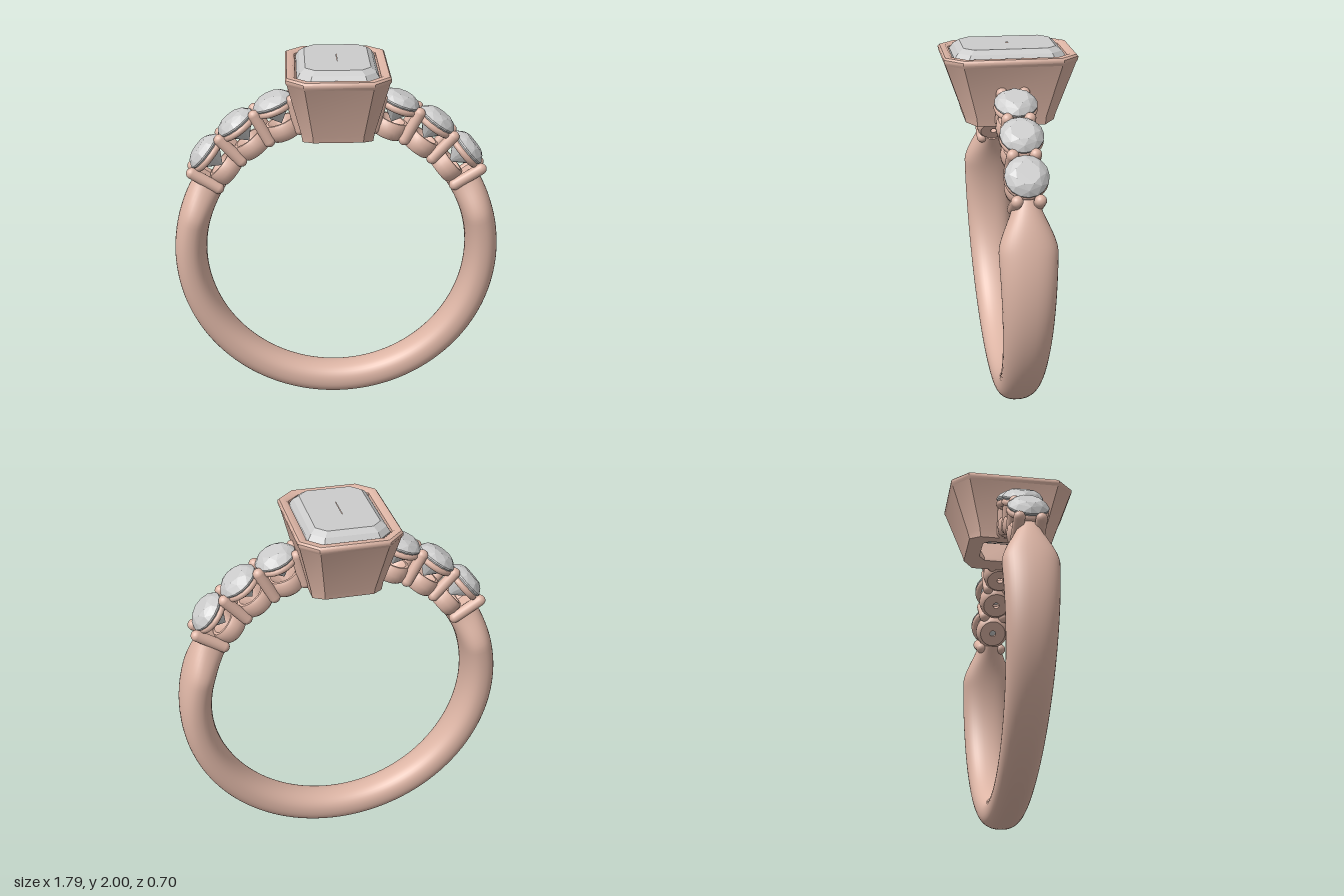
import * as THREE from 'three';
import { toCreasedNormals } from 'three/addons/utils/BufferGeometryUtils.js';
import { ConvexGeometry } from 'three/addons/geometries/ConvexGeometry.js';

const CY = 0.895;                 // height of the ring centre
const INNER = 0.72, OUTER = 0.895;
const rad = THREE.MathUtils.degToRad;

const metal = new THREE.MeshStandardMaterial({ color: 0xddb5a5 });
const gem = new THREE.MeshStandardMaterial({ color: 0xcccccc, flatShading: true });

function mesh(name, geometry, material) {
  const m = new THREE.Mesh(geometry, material);
  m.name = name;
  return m;
}

// Skin a list of equal-length loops (each counter-clockwise about the travel direction)
function loft(loops, crease) {
  const n = loops[0].length, index = [];
  for (let i = 0; i < loops.length - 1; i++) {
    for (let j = 0; j < n; j++) {
      const k = (j + 1) % n;
      const a = i * n + j, b = i * n + k, c = a + n, d = b + n;
      index.push(a, b, d, a, d, c);
    }
  }
  const g = new THREE.BufferGeometry();
  g.setAttribute('position', new THREE.Float32BufferAttribute(loops.flat(2), 3));
  g.setIndex(index);
  g.computeVertexNormals();
  return toCreasedNormals(g, rad(crease));
}

// Rectangle with cut corners; y is a height or a rule of x
function octagon(hx, hz, cut, y) {
  const a = hx - cut, b = hz - cut;
  return [[hx, b], [hx, -b], [a, -hz], [-a, -hz], [-hx, -b], [-hx, b], [-a, hz], [a, hz]]
    .map(([x, z]) => [x, typeof y === 'function' ? y(x) : y, z]);
}

// Band: wide at the shoulders, slim at the bottom, pinched at both ends
function bandGeometry() {
  const loops = [], steps = 140, sides = 36;
  const start = -213.5, end = 33.5, mid = (INNER + OUTER) / 2, half = (OUTER - INNER) / 2;
  const power = (v, e) => Math.sign(v) * Math.abs(v) ** e;
  const section = (deg, scale) => {
    const t = rad(deg), y = CY + mid * Math.sin(t);
    const above = Math.max(0, Math.asin(Math.sin(t)) * 180 / Math.PI - 15);
    const pinch = THREE.MathUtils.smoothstep(above, 0, 21);
    const w = THREE.MathUtils.lerp(0.095 + 0.055 * Math.min(1, y / 1.13), 0.062, pinch);
    const loop = [];
    for (let j = 0; j < sides; j++) {
      const p = j / sides * Math.PI * 2;
      const r = mid + half * scale * power(Math.sin(p), 0.88);
      loop.push([r * Math.cos(t), CY + r * Math.sin(t), w * scale * power(Math.cos(p), 0.88)]);
    }
    return loop;
  };
  loops.push(section(start, 0.001));
  for (let i = 0; i <= steps; i++) loops.push(section(start + (end - start) * i / steps, 1));
  loops.push(section(end, 0.001));
  return loft(loops, 45);
}

// Hollow tapered bezel whose underside follows the finger hole
function bezelGeometry() {
  const arc = (x) => CY + Math.sqrt(0.725 ** 2 - x * x);
  const base = octagon(0.185, 0.235, 0.055, arc);
  return loft([
    base,
    octagon(0.192, 0.243, 0.06, 1.64),
    octagon(0.262, 0.342, 0.088, 1.925),
    octagon(0.27, 0.35, 0.09, 1.94),
    octagon(0.27, 0.35, 0.09, 1.955),
    octagon(0.262, 0.342, 0.088, 1.965),
    octagon(0.232, 0.312, 0.075, 1.965),
    octagon(0.22, 0.3, 0.07, 1.955),
    octagon(0.215, 0.295, 0.07, 1.92),
    octagon(0.11, 0.15, 0.035, 1.63),
    octagon(0.11, 0.15, 0.035, arc),
    base,
  ], 40);
}

// Step-cut centre stone, closed by a keel below and a flat table above
function centerStoneGeometry() {
  return loft([
    octagon(0.003, 0.09, 0.001, 1.67),
    octagon(0.08, 0.15, 0.03, 1.71),
    octagon(0.155, 0.23, 0.05, 1.82),
    octagon(0.212, 0.292, 0.068, 1.935),
    octagon(0.212, 0.292, 0.068, 1.95),
    octagon(0.195, 0.272, 0.06, 1.978),
    octagon(0.168, 0.242, 0.05, 2.0),
    octagon(0.001, 0.074, 0.0005, 2.0),
  ], 5);
}

// Brilliant-cut stone: heights are distances from the ring centre
function roundStoneGeometry() {
  const pts = [new THREE.Vector3(0, 0.8, 0)];
  const ring = (count, r, y, turn) => {
    for (let i = 0; i < count; i++) {
      const a = (i + turn) / count * Math.PI * 2;
      pts.push(new THREE.Vector3(r * Math.cos(a), y, r * Math.sin(a)));
    }
  };
  ring(8, 0.062, 0.972, 0.5);
  ring(8, 0.09, 0.957, 0);
  ring(16, 0.112, 0.93, 0);
  ring(16, 0.112, 0.922, 0);
  ring(8, 0.05, 0.853, 0.5);
  return new ConvexGeometry(pts);
}

function cupGeometry() {
  const profile = [[0.018, 0.745], [0.018, 0.722], [0.075, 0.722], [0.09, 0.735], [0.097, 0.77],
    [0.094, 0.805], [0.084, 0.82], [0.07, 0.82], [0.018, 0.745]];
  return toCreasedNormals(
    new THREE.LatheGeometry(profile.map(([x, y]) => new THREE.Vector2(x, y)), 32), rad(40));
}

export function createModel() {
  const model = new THREE.Group();
  model.name = 'ring';
  model.add(mesh('band', bandGeometry(), metal));
  model.add(mesh('bezel', bezelGeometry(), metal));
  model.add(mesh('centerStone', centerStoneGeometry(), gem));

  const stone = roundStoneGeometry(), cup = cupGeometry();
  const rim = new THREE.TorusGeometry(0.094, 0.019, 10, 32).rotateX(Math.PI / 2).translate(0, 0.897, 0);
  const prong = new THREE.CapsuleGeometry(0.031, 0.165, 8, 16).translate(0, 0.837, 0);

  // A group whose local y points outward from the ring centre
  const station = (name, deg, side) => {
    const g = new THREE.Group();
    g.name = name;
    g.position.y = CY;
    g.rotation.z = side * rad(deg - 90);
    model.add(g);
    return g;
  };

  for (const side of [1, -1]) {
    const label = side > 0 ? 'left' : 'right';
    // Three set stones on each shoulder
    for (const deg of [39.75, 54.25, 68.5]) {
      const g = station(label + 'SideSetting', deg, side);
      g.add(mesh('sideStone', stone, gem), mesh('cup', cup, metal), mesh('rim', rim, metal));
    }
    // Paired prongs between the stones
    for (const deg of [32, 47.25, 61.5, 75]) {
      const g = station(label + 'ProngPair', deg, side);
      for (const z of [-0.058, 0.058]) {
        const p = mesh('prong', prong, metal);
        p.position.z = z;
        g.add(p);
      }
    }
  }
  return model;
}
